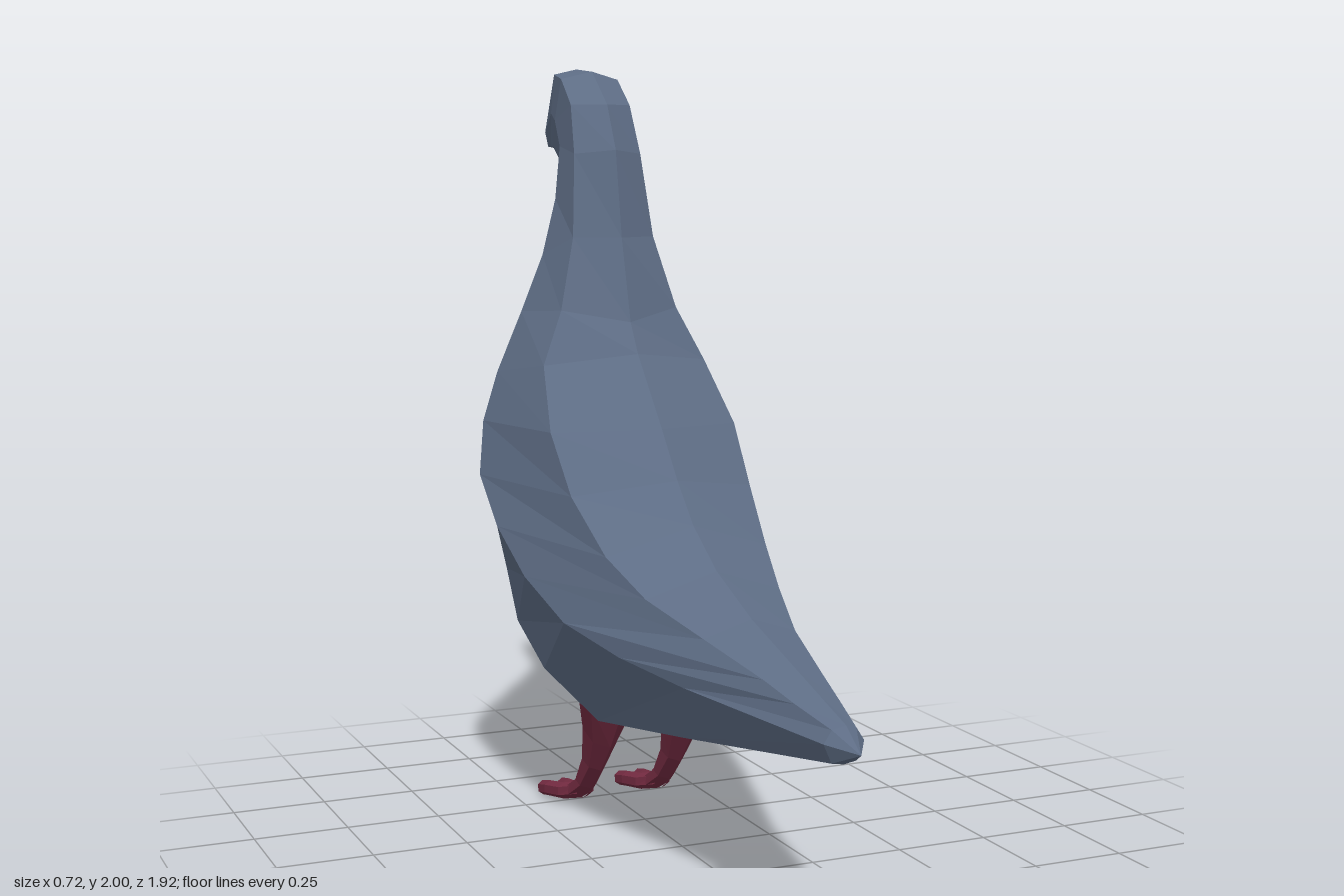
import * as THREE from 'three';

// Faceted skin over a list of closed rings (rings run counter-clockwise about the path).
function loft(rings) {
  const pos = [];
  const tri = (a, b, c) => {
    const n = b.clone().sub(a).cross(c.clone().sub(a));
    if (n.lengthSq() > 1e-14) pos.push(...a.toArray(), ...b.toArray(), ...c.toArray());
  };
  for (let i = 0; i < rings.length - 1; i++) {
    const r = rings[i], s = rings[i + 1], n = r.length;
    for (let j = 0; j < n; j++) {
      const k = (j + 1) % n;
      tri(r[j], r[k], s[j]);
      tri(r[k], s[k], s[j]);
    }
  }
  const g = new THREE.BufferGeometry();
  g.setAttribute('position', new THREE.Float32BufferAttribute(pos, 3));
  g.computeVertexNormals();
  return g;
}

// Body rails from beak tip to tail tip: spine and keel are [y, z], the others [x, y, z].
const spine = [[1.79, -0.96], [1.90, -0.86], [2.0, -0.73], [1.99, -0.61], [1.90, -0.50], [1.78, -0.44],
  [1.55, -0.40], [1.33, -0.34], [1.25, -0.29], [1.07, -0.13], [0.95, -0.03], [0.85, 0.07],
  [0.76, 0.21], [0.68, 0.41], [0.61, 0.65], [0.575, 0.77], [0.54, 0.89], [0.49, 0.96]];
const backEdge = [[0, 1.79, -0.96], [0.035, 1.87, -0.86], [0.065, 1.985, -0.73], [0.082, 1.97, -0.63],
  [0.085, 1.90, -0.55], [0.095, 1.77, -0.50], [0.115, 1.55, -0.46], [0.165, 1.36, -0.42],
  [0.23, 1.22, -0.38], [0.26, 1.06, -0.25], [0.25, 0.91, -0.13], [0.22, 0.78, 0.03],
  [0.18, 0.70, 0.19], [0.12, 0.64, 0.40], [0.075, 0.59, 0.63], [0.055, 0.56, 0.75],
  [0.03, 0.53, 0.88], [0, 0.49, 0.96]];
const flank = [[0, 1.79, -0.96], [0.045, 1.83, -0.86], [0.075, 1.88, -0.73], [0.09, 1.86, -0.66],
  [0.095, 1.79, -0.61], [0.12, 1.65, -0.58], [0.16, 1.50, -0.575], [0.22, 1.35, -0.58],
  [0.29, 1.19, -0.58], [0.335, 1.06, -0.57], [0.36, 0.92, -0.53], [0.357, 0.80, -0.40],
  [0.335, 0.69, -0.25], [0.295, 0.60, -0.07], [0.23, 0.55, 0.14], [0.16, 0.52, 0.37],
  [0.05, 0.50, 0.88], [0, 0.49, 0.96]];
const bellyEdge = [[0, 1.79, -0.96], [0.03, 1.79, -0.86], [0.055, 1.79, -0.77], [0.06, 1.76, -0.715],
  [0.055, 1.68, -0.695], [0.075, 1.60, -0.71], [0.10, 1.45, -0.73], [0.14, 1.28, -0.755],
  [0.19, 1.09, -0.76], [0.23, 0.91, -0.75], [0.25, 0.77, -0.69], [0.27, 0.65, -0.58],
  [0.285, 0.53, -0.45], [0.265, 0.43, -0.30], [0.18, 0.32, -0.13], [0.12, 0.37, 0.27],
  [0.03, 0.455, 0.88], [0, 0.49, 0.96]];
const keel = [[1.79, -0.96], [1.78, -0.84], [1.775, -0.79], [1.74, -0.745], [1.68, -0.73], [1.58, -0.75],
  [1.43, -0.785], [1.27, -0.805], [1.10, -0.82], [0.88, -0.815], [0.71, -0.76], [0.58, -0.645],
  [0.45, -0.51], [0.33, -0.34], [0.29, -0.15], [0.355, 0.28], [0.45, 0.88], [0.49, 0.96]];

function bodyGeometry() {
  const sides = [backEdge, flank, bellyEdge];
  return loft(spine.map((b, i) => [
    new THREE.Vector3(0, ...b),
    ...sides.map(r => new THREE.Vector3(-r[i][0], r[i][1], r[i][2])),
    new THREE.Vector3(0, ...keel[i]),
    ...sides.slice().reverse().map(r => new THREE.Vector3(...r[i])),
  ]));
}

// Six-sided limb; each section is [x, rearY, rearZ, frontY, frontZ, halfWidth].
function limb(sections) {
  return loft(sections.map(([x, y0, z0, y1, z1, w]) => Array.from({ length: 6 }, (_, j) => {
    const a = j * Math.PI / 3, c = Math.cos(a) / 2;
    return new THREE.Vector3(x + Math.sin(a) * w * 1.15,
      (y0 + y1) / 2 + (y1 - y0) * c, (z0 + z1) / 2 + (z1 - z0) * c);
  })));
}

export function createModel() {
  const plumage = new THREE.MeshStandardMaterial({ color: 0x5e6d85 });
  plumage.name = 'slate plumage';
  const skin = new THREE.MeshStandardMaterial({ color: 0x742b41 });
  skin.name = 'dark red skin';

  const bird = new THREE.Group();
  bird.name = 'bird';
  const add = (parent, name, geometry, material) => {
    const m = new THREE.Mesh(geometry, material);
    m.name = name;
    parent.add(m);
  };
  add(bird, 'body', bodyGeometry(), plumage);

  for (const [side, x] of [['left', 0.115], ['right', -0.115]]) {
    const leg = new THREE.Group();
    leg.name = side + 'Leg';
    leg.position.x = x;
    // Thigh and shank sweep forward to the ankle
    add(leg, side + 'Shank', limb([
      [0, 0.33, -0.13, 0.40, -0.335, 0.065],
      [0, 0.22, -0.21, 0.26, -0.355, 0.036],
      [0, 0.14, -0.28, 0.16, -0.385, 0.024],
      [0, 0.07, -0.36, 0.09, -0.425, 0.024],
      [0, 0.025, -0.43, 0.065, -0.46, 0.034],
      [0, 0.035, -0.48, 0.045, -0.48, 0],
    ]), skin);
    // Three forward toes
    for (const t of [-1, 0, 1]) {
      add(leg, side + 'Toe', limb([
        [0, 0.03, -0.41, 0.075, -0.42, 0.018],
        [t * 0.035, 0.014, -0.47, 0.06, -0.47, 0.017],
        [t * 0.052, 0.008, -0.53, 0.052, -0.53, 0.017],
        [t * 0.057, 0.0, -0.575, 0.04, -0.58, 0.014],
        [t * 0.057, 0.015, -0.592, 0.025, -0.592, 0],
      ]), skin);
    }
    bird.add(leg);
  }
  return bird;
}
